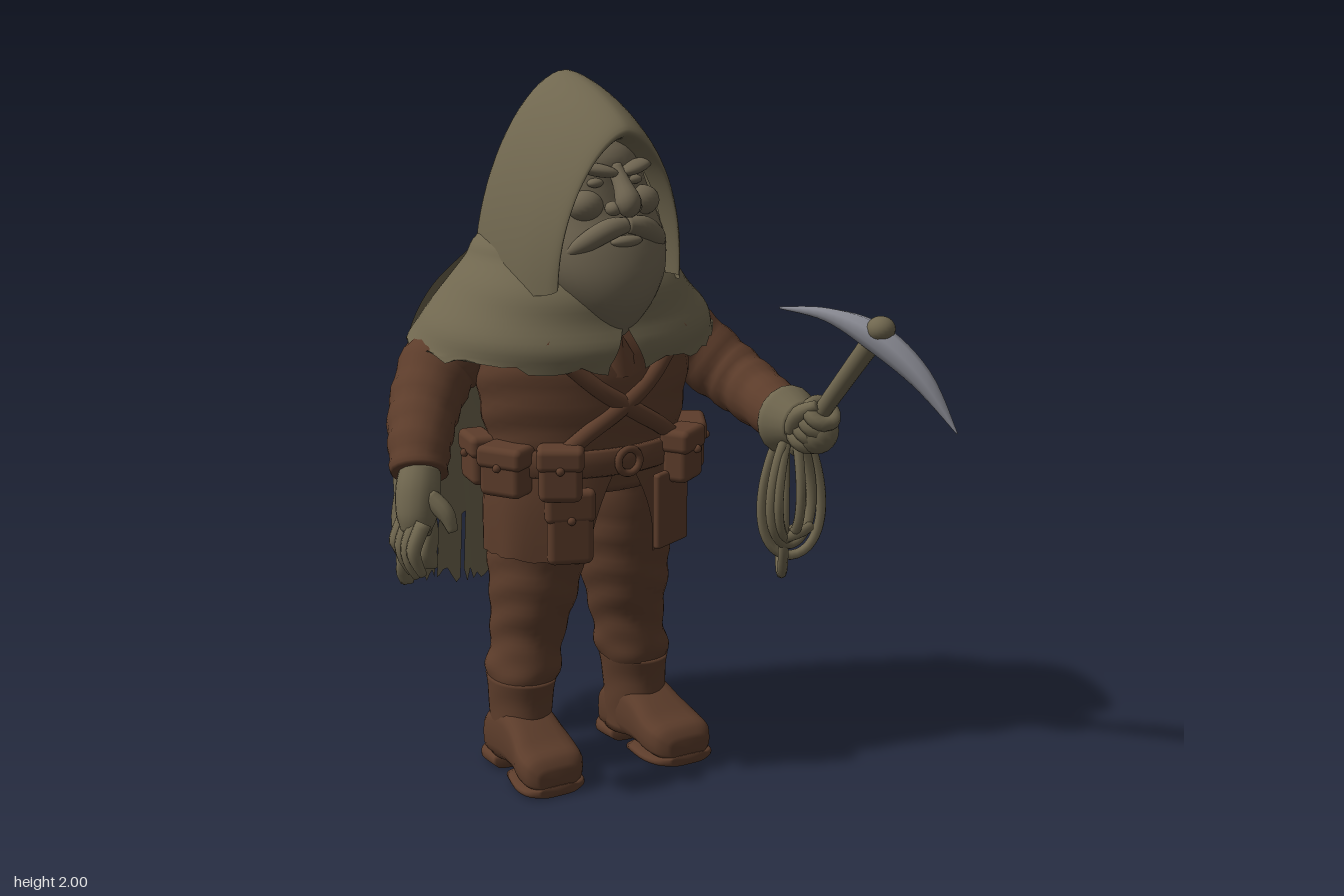
import * as THREE from 'three';
import { RoundedBoxGeometry } from 'three/addons/geometries/RoundedBoxGeometry.js';

const mat = (name, color) => {
  const m = new THREE.MeshStandardMaterial({ color, side: THREE.DoubleSide });
  m.name = name;
  return m;
};
const V = (x, y, z) => new THREE.Vector3(x, y, z);
const hash = (i) => { const s = Math.sin(i * 127.1 + 3.7) * 43758.5453; return s - Math.floor(s); };

// Catmull-Rom resampling of rows of numbers
function resample(keys, n) {
  const last = keys.length - 1;
  const at = (i) => keys[Math.max(0, Math.min(last, i))];
  return Array.from({ length: n + 1 }, (_, k) => {
    const t = (k / n) * last, i = Math.min(Math.floor(t), last - 1), f = t - i;
    return keys[i].map((b, c) => {
      const a = at(i - 1)[c], d = at(i + 1)[c], e = at(i + 2)[c];
      const u = (d - a) / 2, v = (e - b) / 2;
      return (2 * b - 2 * d + u + v) * f ** 3 + (3 * d - 3 * b - 2 * u - v) * f * f + u * f + b;
    });
  });
}

// Surface through rows of points; wrap closes each row, caps close the ends
function skin(rows, { wrap = true, caps = true, skip = () => false } = {}) {
  if (caps) {
    const mid = (r) => r.map(() => r.reduce((s, p) => s.add(p), V(0, 0, 0)).multiplyScalar(1 / r.length));
    rows = [mid(rows[0]), ...rows, mid(rows[rows.length - 1])];
  }
  const n = rows[0].length, pos = [], idx = [];
  rows.forEach((r) => r.forEach((p) => pos.push(p.x, p.y, p.z)));
  for (let r = 0; r < rows.length - 1; r++)
    for (let c = 0; c < (wrap ? n : n - 1); c++) {
      if (skip(r, c)) continue;
      const d = (c + 1) % n, a = r * n + c, b = r * n + d;
      idx.push(a, b, b + n, a, b + n, a + n);
    }
  const g = new THREE.BufferGeometry();
  g.setAttribute('position', new THREE.Float32BufferAttribute(pos, 3));
  g.setIndex(idx);
  g.computeVertexNormals();
  return g;
}

// Upright body from [y, cx, cz, rx, rz] rings, listed bottom to top
const body = (keys, n = 16, wobble = 0) => skin(resample(keys, n).map(([y, cx, cz, rx, rz]) =>
  Array.from({ length: 32 }, (_, j) => {
    const a = (j / 32) * Math.PI * 2, k = 1 + wobble * Math.sin(y * 60 + 2 * Math.sin(a * 2));
    return V(cx + rx * k * Math.sin(a), y, cz + rz * k * Math.cos(a));
  })));

// Round limb through [x, y, z, radius] points
function limb(keys, n = 14, wobble = 0, sides = 14) {
  const s = resample(keys, n), p = s.map(([x, y, z]) => V(x, y, z));
  const dir = p[n].clone().sub(p[0]);
  const axes = [V(1, 0, 0), V(0, 1, 0), V(0, 0, 1)].sort((a, b) => Math.abs(a.dot(dir)) - Math.abs(b.dot(dir)));
  return skin(p.map((q, i) => {
    const T = p[Math.min(n, i + 1)].clone().sub(p[Math.max(0, i - 1)]).normalize();
    const N = axes[0].clone().addScaledVector(T, -axes[0].dot(T)).normalize(), B = T.clone().cross(N);
    return Array.from({ length: sides }, (_, j) => {
      const a = (j / sides) * Math.PI * 2, r = Math.max(0.002, s[i][3]) * (1 + wobble * Math.sin(i * 1.7 + Math.sin(a) * 1.5));
      return q.clone().addScaledVector(N, Math.cos(a) * r).addScaledVector(B, Math.sin(a) * r);
    });
  }));
}

// Foot-shaped body from [z, cx, halfWidth, y0, y1] sections, heel to toe
const foot = (keys, n = 16) => skin(resample(keys, n).map(([z, cx, w, y0, y1]) =>
  Array.from({ length: 24 }, (_, j) => {
    const a = (j / 24) * Math.PI * 2, e = (v) => Math.sign(v) * Math.abs(v) ** 0.6;
    return V(cx + w * e(Math.cos(a)), (y0 + y1) / 2 + ((y1 - y0) / 2) * e(Math.sin(a)), z);
  })));

export function createModel() {
  const root = new THREE.Group();
  const cloth = mat('olive cloth', 0x70674f), leather = mat('brown leather', 0x5d3d2b);
  const skinTone = mat('weathered skin', 0x6f6551), steel = mat('steel', 0x8b8c95);
  const add = (name, geo, m, p = [0, 0, 0], s = [1, 1, 1], r = [0, 0, 0]) => {
    const o = new THREE.Mesh(geo, m);
    o.name = name;
    o.position.set(...p); o.scale.set(...s); o.rotation.set(...r);
    root.add(o);
    return o;
  };
  const ball = (name, m, p, s, r) => add(name, new THREE.SphereGeometry(1, 20, 14), m, p, s, r);

  // Legs and boots
  for (const s of [-1, 1]) {
    add('trouserLeg', body([[0.25, 0.19 * s, -0.21, 0.085, 0.1], [0.3, 0.185 * s, -0.21, 0.105, 0.12], [0.36, 0.175 * s, -0.21, 0.1, 0.115],
      [0.43, 0.165 * s, -0.21, 0.108, 0.12], [0.52, 0.155 * s, -0.2, 0.122, 0.135], [0.62, 0.145 * s, -0.2, 0.135, 0.15],
      [0.74, 0.135 * s, -0.19, 0.14, 0.165], [0.88, 0.13 * s, -0.18, 0.14, 0.18]], 30, 0.025), leather);
    add('bootShaft', body([[0.04, 0.195 * s, -0.215, 0.08, 0.1], [0.14, 0.195 * s, -0.21, 0.085, 0.105], [0.22, 0.193 * s, -0.21, 0.09, 0.105],
      [0.28, 0.19 * s, -0.21, 0.1, 0.115]], 12, 0.01), leather);
    add('bootFoot', foot([[-0.31, 0.195 * s, 0.06, 0.03, 0.1], [-0.28, 0.197 * s, 0.08, 0.02, 0.17], [-0.18, 0.2 * s, 0.085, 0.025, 0.2],
      [-0.1, 0.205 * s, 0.088, 0.025, 0.17], [-0.03, 0.212 * s, 0.1, 0.02, 0.13], [0.025, 0.217 * s, 0.092, 0.015, 0.11], [0.05, 0.22 * s, 0.06, 0.02, 0.075]]), leather);
    add('bootHeel', foot([[-0.325, 0.195 * s, 0.06, 0, 0.045], [-0.29, 0.197 * s, 0.083, 0, 0.045], [-0.2, 0.2 * s, 0.083, 0, 0.045]], 8), leather);
    add('bootSole', foot([[-0.13, 0.203 * s, 0.085, 0, 0.03], [-0.03, 0.212 * s, 0.105, 0, 0.03], [0.03, 0.218 * s, 0.095, 0, 0.03], [0.055, 0.22 * s, 0.06, 0, 0.03]], 10), leather);
  }

  // Coat body and split skirt
  add('coat', body([[0.86, 0, -0.175, 0.28, 0.2], [0.97, 0, -0.175, 0.285, 0.215], [1.06, 0, -0.175, 0.305, 0.225], [1.18, 0, -0.175, 0.325, 0.222],
    [1.28, 0, -0.18, 0.31, 0.2], [1.4, 0, -0.2, 0.2, 0.15]], 22, 0.012), leather);
  const skirtRows = [[0.67, 0.3, 0.218, 0.36], [0.75, 0.302, 0.222, 0.33], [0.85, 0.3, 0.222, 0.22], [0.96, 0.285, 0.215, 0.04]];
  add('coatSkirt', skin(resample(skirtRows, 10).map(([y, rx, rz, g], r) => Array.from({ length: 49 }, (_, j) => {
    const a = g + (j / 48) * (Math.PI * 2 - 2 * g), k = 1 + 0.02 * Math.sin(a * 9) * (1 - r / 10);
    return V(rx * k * Math.sin(a), y + (r ? 0 : 0.015 * (hash(j) - 0.5)), -0.175 + rz * k * Math.cos(a));
  })), { wrap: false, caps: false }), leather);

  // Belt, buckle, crossed straps and pouches
  add('belt', body([[0.915, 0, -0.175, 0.285, 0.215], [0.92, 0, -0.175, 0.305, 0.238], [0.985, 0, -0.175, 0.305, 0.24], [0.99, 0, -0.175, 0.285, 0.215]], 6), leather);
  add('buckle', new THREE.TorusGeometry(0.035, 0.011, 8, 20), leather, [0, 0.955, 0.07]);
  for (const s of [-1, 1])
    add('chestStrap', limb([[0.22 * s, 1.3, -0.01, 0.024], [0.1 * s, 1.18, 0.033, 0.024], [0, 1.11, 0.044, 0.026], [-0.13 * s, 1.03, 0.035, 0.024], [-0.2 * s, 0.97, 0.01, 0.024]]), leather);
  add('collar', new THREE.ConeGeometry(0.075, 0.12, 4), leather, [0, 1.25, 0.03], [1, 1, 0.3]);
  const pouch = (x, y, z, w, h, d, ry) => {
    const g = new THREE.Group();
    g.name = 'pouch';
    const bag = new THREE.Mesh(new RoundedBoxGeometry(w, h, d, 3, 0.02), leather);
    const flap = new THREE.Mesh(new RoundedBoxGeometry(w * 1.1, h * 0.45, d * 1.15, 3, 0.018), leather);
    const stud = new THREE.Mesh(new THREE.SphereGeometry(0.012, 10, 8), leather);
    bag.name = 'pouchBag'; flap.name = 'pouchFlap'; stud.name = 'pouchStud';
    flap.position.y = h * 0.3; stud.position.set(0, h * 0.12, d * 0.58);
    g.add(bag, flap, stud);
    g.position.set(x, y, z); g.rotation.y = ry;
    root.add(g);
  };
  for (const s of [-1, 1]) {
    pouch(0.2 * s, 0.94, 0.035, 0.12, 0.15, 0.08, 0.55 * s);
    pouch(0.3 * s, 0.935, -0.09, 0.13, 0.14, 0.09, 1.05 * s);
    pouch(0.3 * s, 0.935, -0.25, 0.12, 0.14, 0.07, 1.75 * s);
  }
  pouch(-0.17, 0.78, 0.035, 0.13, 0.21, 0.04, -0.35);
  add('hangingPanel', new RoundedBoxGeometry(0.15, 0.22, 0.025, 2, 0.01), leather, [0.16, 0.79, 0.035], [1, 1, 1], [0, 0.4, 0]);

  // Sleeves
  add('rightSleeve', limb([[-0.26, 1.3, -0.26, 0.1], [-0.38, 1.21, -0.3, 0.11], [-0.47, 1.11, -0.24, 0.1], [-0.53, 1.03, -0.16, 0.088], [-0.56, 0.96, -0.11, 0.078]], 24, 0.035, 18), leather);
  add('leftSleeve', limb([[0.26, 1.3, -0.26, 0.1], [0.4, 1.2, -0.3, 0.11], [0.5, 1.1, -0.22, 0.1], [0.54, 1.04, -0.1, 0.09], [0.535, 1.0, 0.07, 0.078]], 26, 0.035, 18), leather);

  // Open right glove
  add('rightPalm', limb([[-0.555, 0.98, -0.11, 0.055], [-0.575, 0.92, -0.09, 0.062], [-0.592, 0.85, -0.07, 0.055], [-0.605, 0.81, -0.065, 0.035]]), cloth);
  for (let i = 0; i < 4; i++) {
    const z = -0.115 + i * 0.034, drop = [0.03, 0.005, 0, 0.015][i];
    add('rightFinger', limb([[-0.6, 0.85, z, 0.022], [-0.632, 0.79, z + 0.005, 0.021], [-0.632, 0.74 + drop, z + 0.01, 0.018], [-0.612, 0.695 + drop, z + 0.015, 0.012]], 10, 0, 10), cloth);
  }
  add('rightThumb', limb([[-0.565, 0.91, -0.05, 0.028], [-0.535, 0.87, -0.01, 0.025], [-0.522, 0.82, 0.008, 0.014]], 8, 0, 10), cloth);

  // Left glove gripping the tool
  add('leftCuff', limb([[0.535, 1.0, 0.045, 0.085], [0.535, 1.0, 0.07, 0.1], [0.535, 1.0, 0.1, 0.088], [0.535, 1.0, 0.15, 0.062]], 10, 0, 18), cloth);
  ball('leftFist', cloth, [0.545, 1.0, 0.19], [0.06, 0.075, 0.085]);
  const from = V(0.53, 0.92, 0.12), to = V(0.54, 1.34, 0.485), axis = to.clone().sub(from).normalize();
  for (let i = 0; i < 4; i++) {
    const o = add('leftFinger', new THREE.TorusGeometry(0.038, 0.022, 8, 18), cloth);
    o.position.copy(from).addScaledVector(axis, 0.07 + i * 0.036);
    o.quaternion.setFromUnitVectors(V(0, 0, 1), axis);
  }
  add('leftThumb', limb([[0.5, 0.99, 0.15, 0.028], [0.482, 1.05, 0.2, 0.025], [0.505, 1.085, 0.25, 0.014]], 8, 0, 10), cloth);

  // Pickaxe
  add('pickHandle', limb([[...from, 0.024], [0.535, 1.13, 0.3, 0.026], [...to, 0.03]], 8), cloth);
  ball('pickKnob', cloth, [0.54, 1.345, 0.488], [0.04, 0.035, 0.04]);
  add('pickHead', limb([[0.37, 1.38, 0.255, 0.003], [0.455, 1.37, 0.36, 0.02], [0.535, 1.32, 0.47, 0.04], [0.605, 1.22, 0.585, 0.031], [0.655, 1.08, 0.685, 0.002]], 24, 0, 8), steel);

  // Coiled rope hung on the left hand: [cx, cy, cz, halfWidth, halfHeight, turn]
  [[0.56, 0.77, 0.02, 0.12, 0.25, 1.0], [0.54, 0.82, 0.1, 0.09, 0.18, 0.5], [0.52, 0.81, 0.12, 0.075, 0.17, 0.1], [0.55, 0.79, 0.08, 0.085, 0.2, -0.4], [0.53, 0.84, 0.09, 0.08, 0.18, 1.4]].forEach(([x, y, z, w, h, t]) => {
    const pts = Array.from({ length: 16 }, (_, i) => {
      const a = (i / 16) * Math.PI * 2, u = w * Math.sin(a) * (1 - 0.3 * Math.cos(a));
      return V(x + u * Math.cos(t), y + h * Math.cos(a), z - u * Math.sin(t));
    });
    add('ropeLoop', new THREE.TubeGeometry(new THREE.CatmullRomCurve3(pts, true), 48, 0.015, 8, true), cloth);
  });
  add('ropeWrap', new THREE.TorusGeometry(0.05, 0.016, 8, 20), cloth, [0.54, 0.67, 0.11], [1, 0.7, 1], [1.3, 0.2, 0]);

  // Head, long beard and face
  add('headAndBeard', body([[1.305, 0, 0.025, 0.012, 0.012], [1.35, 0, 0.0, 0.075, 0.065], [1.41, 0, -0.035, 0.135, 0.125], [1.48, 0, -0.055, 0.175, 0.145],
    [1.56, 0, -0.08, 0.19, 0.145], [1.64, 0, -0.12, 0.18, 0.145], [1.72, 0, -0.14, 0.155, 0.15], [1.8, 0, -0.16, 0.13, 0.16], [1.87, 0, -0.18, 0.08, 0.1]], 30), skinTone);
  add('nose', limb([[0, 1.765, -0.005, 0.02], [0, 1.72, 0.035, 0.026], [0, 1.675, 0.066, 0.036], [0, 1.645, 0.06, 0.02]]), skinTone);
  for (const s of [-1, 1]) {
    ball('nostril', skinTone, [0.033 * s, 1.66, 0.04], [0.022, 0.02, 0.026]);
    ball('brow', skinTone, [0.06 * s, 1.762, 0.005], [0.06, 0.018, 0.032], [0, 0.3 * s, 0.2 * s]);
    ball('eye', skinTone, [0.062 * s, 1.726, -0.005], [0.024, 0.013, 0.018]);
    ball('cheek', skinTone, [0.09 * s, 1.665, -0.012], [0.052, 0.042, 0.045]);
    add('moustache', limb([[0, 1.615, 0.055, 0.022], [0.055 * s, 1.605, 0.05, 0.03], [0.115 * s, 1.57, 0.025, 0.026], [0.16 * s, 1.535, -0.01, 0.006]]), skinTone);
  }
  ball('lowerLip', skinTone, [0, 1.57, 0.055], [0.05, 0.016, 0.022]);

  // Hood: arches from inner rim to the back [z, topY, halfWidth, bottomY, lean]
  const arches = [[-0.03, 1.835, 0.18, 1.45, 0], [0.035, 1.848, 0.192, 1.45, -0.02], [0.06, 1.868, 0.202, 1.44, -0.05], [0.02, 1.905, 0.218, 1.43, -0.04],
    [-0.08, 1.955, 0.242, 1.42, -0.01], [-0.19, 1.99, 0.256, 1.42, 0], [-0.28, 1.998, 0.256, 1.42, 0], [-0.35, 1.95, 0.242, 1.42, 0],
    [-0.405, 1.86, 0.215, 1.42, 0], [-0.44, 1.74, 0.165, 1.42, 0], [-0.452, 1.63, 0.09, 1.42, 0], [-0.45, 1.54, 0.005, 1.42, 0]];
  add('hood', skin(resample(arches, 40).map(([z, yt, w, yb, lean]) => Array.from({ length: 41 }, (_, j) => {
    const a = (j / 40 - 0.5) * Math.PI, s = Math.sin(a), c = Math.cos(a);
    return V(w * Math.sign(s) * Math.abs(s) ** 1.2, yb + (yt - yb) * c, z + lean * (1 - c));
  })), { wrap: false, caps: false }), cloth);

  // Shoulder mantle, split at the throat: [y, halfWidth, frontZ, backZ, gap]
  const mantle = [[1.235, 0.472, 0.065, -0.565, 0.13], [1.29, 0.45, 0.062, -0.555, 0.06], [1.36, 0.405, 0.045, -0.535, 0], [1.43, 0.345, 0.02, -0.51, 0],
    [1.49, 0.285, -0.005, -0.49, 0], [1.53, 0.265, -0.03, -0.475, 0], [1.57, 0.225, -0.07, -0.44, 0]];
  add('mantle', skin(resample(mantle, 24).map(([y, rx, zf, zb, g], r) => Array.from({ length: 73 }, (_, j) => {
    const a = g + (j / 72) * (Math.PI * 2 - 2 * g), c = Math.cos(a);
    const k = 1 + 0.016 * Math.sin(y * 48 + 3 * Math.cos(a)) * (0.5 + 0.5 * c);
    const low = Math.max(0, 1 - r / 8), hem = low * (0.025 - 0.04 * c + (r ? 0 : 0.035 * (hash(j) - 0.5)));
    return V(rx * k * Math.sin(a), y + hem, -0.3 + (c > 0 ? zf + 0.3 : -0.3 - zb) * k * c);
  })), { wrap: false, caps: false }), cloth);

  // Long back cloak with torn hem: [y, halfWidth, centreZ, edgeZ]
  const cloak = [[0.47, 0.44, -0.675, -0.475], [0.7, 0.435, -0.655, -0.45], [0.95, 0.43, -0.635, -0.43], [1.15, 0.43, -0.605, -0.42], [1.28, 0.42, -0.575, -0.42], [1.4, 0.34, -0.53, -0.43], [1.5, 0.22, -0.48, -0.42]];
  const slits = { 4: 9, 5: 5, 9: 8, 14: 5, 21: 3, 39: 4, 46: 6, 51: 9, 55: 7 };
  add('cloak', skin(resample(cloak, 30).map(([y, w, zc, ze], r) => Array.from({ length: 61 }, (_, j) => {
    const u = 1 - j / 30, low = 1 - r / 30;
    const hem = Math.max(0, 1 - r / 5) * (0.06 * u * u - 0.045 * (1 - Math.abs(u)) + 0.05 * (hash(j + 9) - 0.5));
    return V(w * u, y + hem, zc + (ze - zc) * Math.abs(u) ** 2.4 + 0.009 * low * Math.sin(u * 19 + y * 3));
  })), { wrap: false, caps: false, skip: (r, c) => r < (slits[c] || 0) }), cloth);

  // Ragged scraps hanging along the cloak edges: [x, z, topY, bottomY, width]
  for (const s of [-1, 1])
    [[0.36, -0.51, 0.83, 0.64, 0.052], [0.42, -0.47, 0.78, 0.52, 0.026], [0.39, -0.53, 0.72, 0.5, 0.024], [0.31, -0.53, 0.78, 0.53, 0.026], [0.345, -0.55, 0.68, 0.51, 0.022], [0.425, -0.5, 0.85, 0.6, 0.02]].forEach(([x, z, t, b, w], i) =>
      add('clothScrap', body([[b, s * x, z, w * 0.7, 0.012], [b + (t - b) * 0.2, s * (x + 0.006), z, w * 1.1, 0.02], [b + (t - b) * 0.6, s * x, z, w * 0.85, 0.025], [t - 0.02, s * (x - 0.005), z - 0.01, w * 0.6, 0.02], [t, s * x, z - 0.015, 0.008, 0.008]], 12, 0.08 + 0.01 * i), cloth));
  return root;
}
